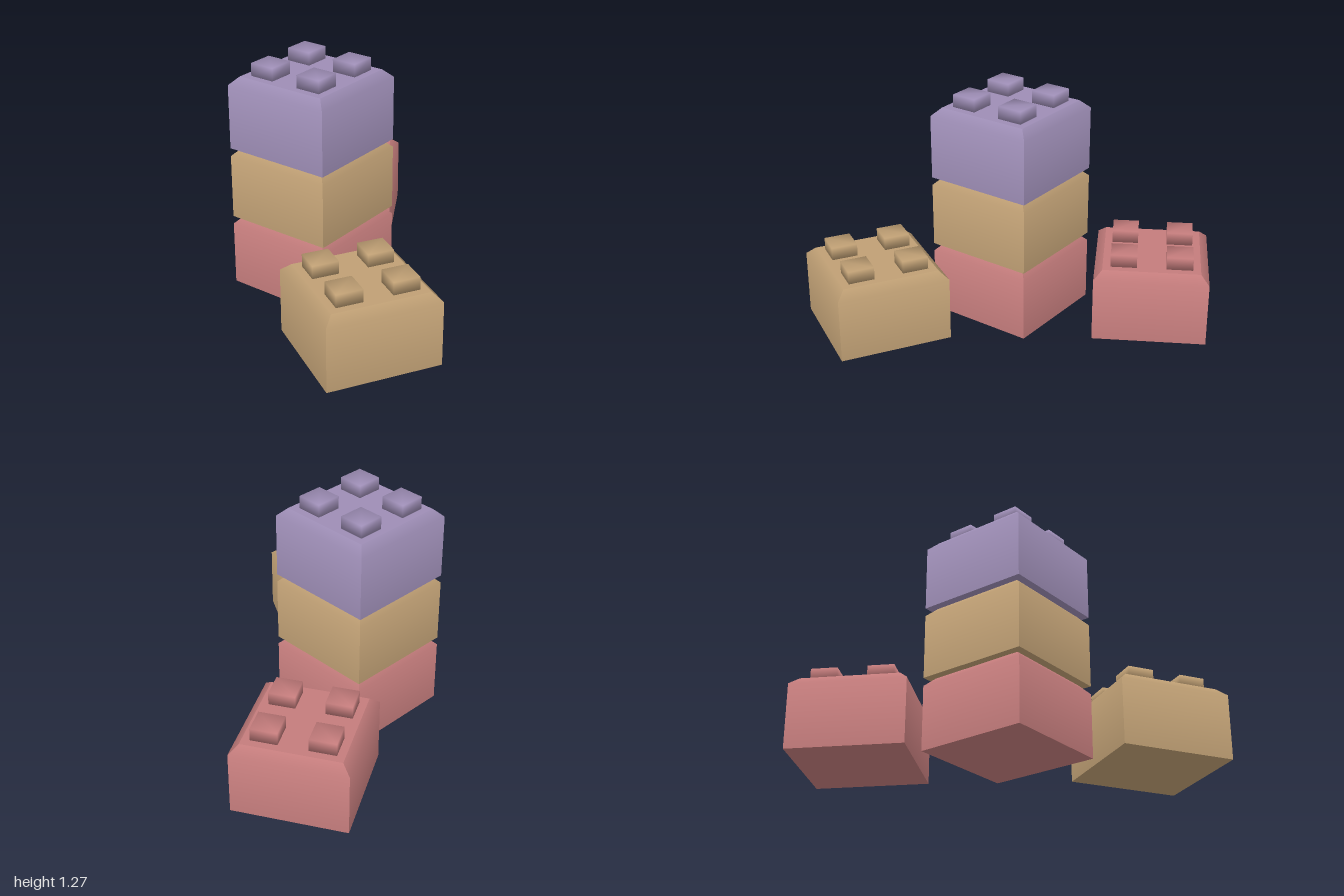
import * as THREE from 'three';
import { mergeVertices } from 'three/addons/utils/BufferGeometryUtils.js';

const HALF = 0.308, HEIGHT = 0.4, BEVEL = 0.045;
const STUD = 0.142, STUD_HEIGHT = 0.07, STUD_OFFSET = 0.15;

// Block shell: four walls that roll softly into a chamfer, plus flat top and bottom
function blockGeometry() {
  const positions = [], normals = [], indices = [];
  const up = new THREE.Vector3(0, 1, 0);
  // each row: half width, height, upward tilt of the normal
  const rows = [
    [HALF, 0, 0],
    [HALF, HEIGHT - BEVEL, Math.PI / 8],
    [HALF - BEVEL, HEIGHT, Math.PI / 4],
  ];
  const addVertex = (p, n) => {
    positions.push(p.x, p.y, p.z);
    normals.push(n.x, n.y, n.z);
  };
  for (let side = 0; side < 4; side++) {
    const turn = side * Math.PI / 2, base = positions.length / 3;
    for (const [w, y, tilt] of rows) {
      const n = new THREE.Vector3(0, Math.sin(tilt), Math.cos(tilt)).applyAxisAngle(up, turn);
      for (const s of [-1, 1]) addVertex(new THREE.Vector3(s * w, y, w).applyAxisAngle(up, turn), n);
    }
    for (let r = 0; r < 2; r++) {
      const a = base + r * 2;
      indices.push(a, a + 1, a + 3, a, a + 3, a + 2);
    }
  }
  // caps
  for (const [w, y, dir] of [[HALF - BEVEL, HEIGHT, 1], [HALF, 0, -1]]) {
    const base = positions.length / 3;
    const n = new THREE.Vector3(0, dir, 0);
    for (const [x, z] of [[-1, dir], [1, dir], [1, -dir], [-1, -dir]]) {
      addVertex(new THREE.Vector3(x * w, y, z * w), n);
    }
    indices.push(base, base + 1, base + 2, base, base + 2, base + 3);
  }
  const geometry = new THREE.BufferGeometry();
  geometry.setAttribute('position', new THREE.Float32BufferAttribute(positions, 3));
  geometry.setAttribute('normal', new THREE.Float32BufferAttribute(normals, 3));
  geometry.setIndex(indices);
  return geometry;
}

// Square stud with shared, smoothed corner normals
function studGeometry() {
  const box = new THREE.BoxGeometry(STUD, STUD_HEIGHT, STUD);
  box.deleteAttribute('normal');
  box.deleteAttribute('uv');
  const geometry = mergeVertices(box);
  geometry.computeVertexNormals();
  return geometry;
}

function material(name, color) {
  const m = new THREE.MeshStandardMaterial({ color });
  m.name = name;
  return m;
}

export function createModel() {
  const model = new THREE.Group();
  model.name = 'toyBlocks';
  const red = material('dustyRed', 0xc47c7c);
  const tan = material('tan', 0xbf9f74);
  const purple = material('mutedPurple', 0x9d8db5);
  const body = blockGeometry(), stud = studGeometry();

  function addBlock(name, mat, x, y, z, turn = 0) {
    const block = new THREE.Group();
    block.name = name;
    const shell = new THREE.Mesh(body, mat);
    shell.name = 'blockBody';
    block.add(shell);
    for (const sx of [-1, 1]) {
      for (const sz of [-1, 1]) {
        const s = new THREE.Mesh(stud, mat);
        s.name = 'stud';
        s.position.set(sx * STUD_OFFSET, HEIGHT + STUD_HEIGHT / 2, sz * STUD_OFFSET);
        block.add(s);
      }
    }
    block.position.set(x, y, z);
    block.rotation.y = turn;
    model.add(block);
  }

  // Stacked tower
  addBlock('towerBottomBlock', red, -0.137, 0, -0.155);
  addBlock('towerMiddleBlock', tan, -0.137, HEIGHT, -0.155);
  addBlock('towerTopBlock', purple, -0.137, HEIGHT * 2, -0.155);
  // Loose blocks beside it
  addBlock('looseLeftBlock', red, 0.579, 0, -0.49, Math.PI / 6);
  addBlock('looseRightBlock', tan, -0.579, 0, 0.487, -Math.PI / 6);
  return model;
}
